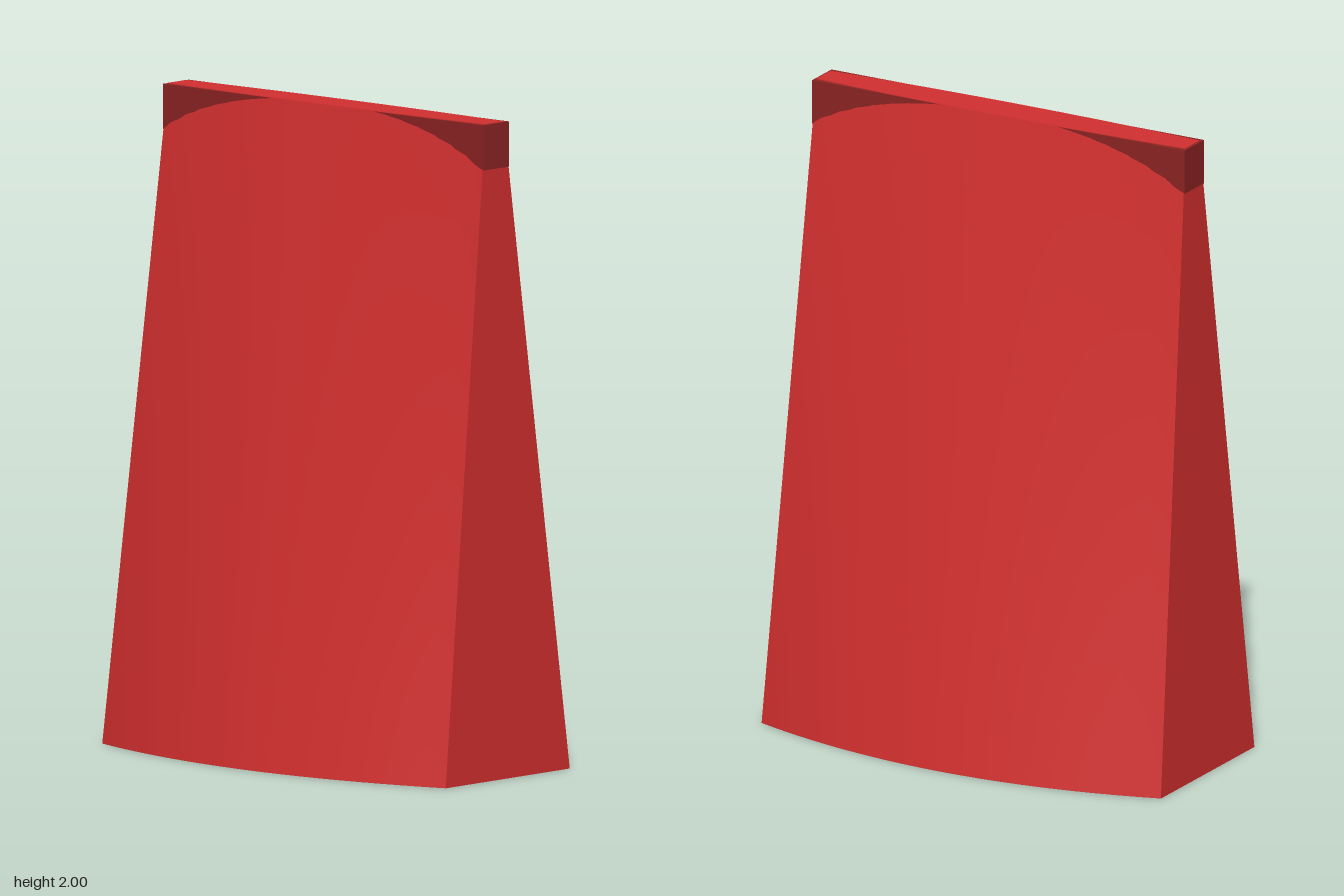
import * as THREE from 'three';
import { toCreasedNormals } from 'three/addons/utils/BufferGeometryUtils.js';

const HEIGHT = 2;

export function createModel() {
  const group = new THREE.Group();
  group.name = 'taperedTube';
  const red = new THREE.MeshStandardMaterial({ color: 0xd32f2f });
  red.name = 'red';
  const darkRed = new THREE.MeshStandardMaterial({ color: 0x8e2323 });
  darkRed.name = 'dark red';

  // Footprint: flat ends joined by bulging front and back curves
  const outline = new THREE.Shape();
  outline.moveTo(0.7, -0.28);
  outline.lineTo(0.7, 0.28);
  outline.quadraticCurveTo(0, 0.52, -0.7, 0.28);
  outline.lineTo(-0.7, -0.28);
  outline.quadraticCurveTo(0, -0.52, 0.7, -0.28);

  let bodyGeo = new THREE.ExtrudeGeometry(outline, {
    depth: HEIGHT, steps: 8, curveSegments: 20, bevelEnabled: false,
  });
  bodyGeo.rotateX(-Math.PI / 2);

  // Taper towards the pinched top
  const pos = bodyGeo.attributes.position;
  for (let i = 0; i < pos.count; i++) {
    const t = pos.getY(i) / HEIGHT;
    pos.setX(i, pos.getX(i) * (1 - 0.076 * t));
    pos.setZ(i, pos.getZ(i) * (1 - 0.85 * t));
  }
  bodyGeo = toCreasedNormals(bodyGeo, 0.6);
  const body = new THREE.Mesh(bodyGeo, red);
  body.name = 'body';
  group.add(body);

  // Crimped band around the top edge, just below the body's flat top
  const crimp = new THREE.Mesh(new THREE.BoxGeometry(1.306, 0.138, 0.117), darkRed);
  crimp.name = 'crimp';
  crimp.position.y = 1.929;
  group.add(crimp);

  return group;
}
